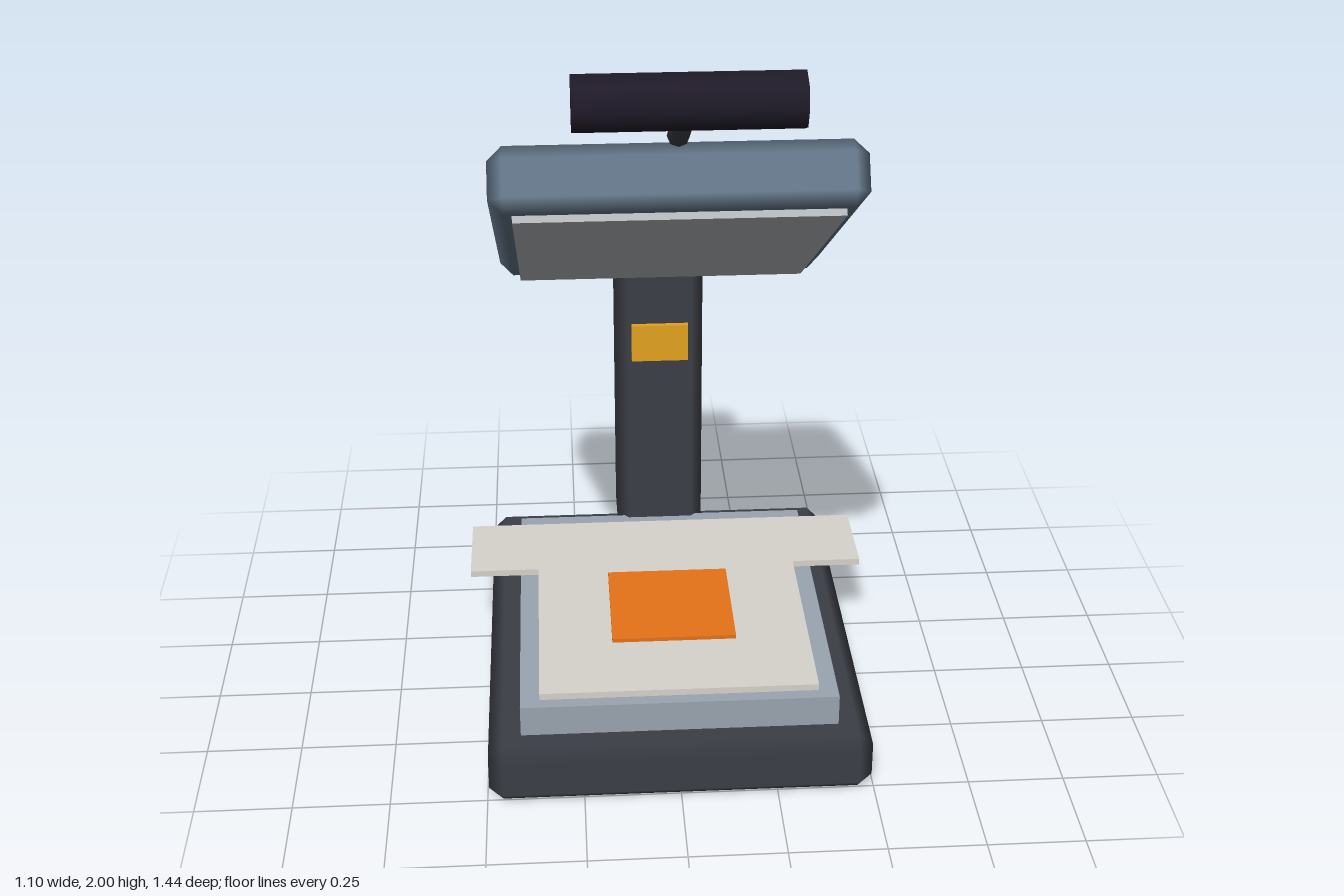
import * as THREE from 'three';
import { ConvexGeometry } from 'three/addons/geometries/ConvexGeometry.js';

const paint = (color) => new THREE.MeshStandardMaterial({ color });
const dark = paint(0x3b3e45), blue = paint(0x627486), steel = paint(0x9aa5b0);
const cloth = paint(0xd6d3cb), orange = paint(0xe67318), amber = paint(0xe3a220);
const grip = paint(0x1e1a28), plateGrey = paint(0xb4b8bc);

function add(parent, name, geometry, material, x, y, z) {
  const mesh = new THREE.Mesh(geometry, material);
  mesh.name = name;
  mesh.position.set(x, y, z);
  parent.add(mesh);
  return mesh;
}

// Box with one cut along every edge; normals follow the flat faces so the cuts shade softly
function chamferBox(w, h, d, b) {
  const half = [w / 2, h / 2, d / 2];
  const points = [];
  for (let axis = 0; axis < 3; axis++)
    for (const sx of [-1, 1]) for (const sy of [-1, 1]) for (const sz of [-1, 1]) {
      const p = [sx, sy, sz].map((s, i) => s * (half[i] - (i === axis ? 0 : b)));
      points.push(new THREE.Vector3(...p));
    }
  const geometry = new ConvexGeometry(points);
  const pos = geometry.attributes.position, normal = geometry.attributes.normal;
  for (let i = 0; i < pos.count; i++) {
    const p = [pos.getX(i), pos.getY(i), pos.getZ(i)];
    normal.setXYZ(i, ...p.map((v, k) => (Math.abs(v) > half[k] - b / 2 ? Math.sign(v) : 0)));
  }
  return geometry;
}

// Flat T-shaped garment, lying with its sleeves toward the back
function garmentGeometry() {
  const right = [[0.36, -0.42], [0.36, 0.175], [0.55, 0.175], [0.55, 0.42]];
  const left = right.map(([x, y]) => [-x, y]).reverse();
  const shape = new THREE.Shape([...right, ...left].map(([x, y]) => new THREE.Vector2(x, y)));
  return new THREE.ExtrudeGeometry(shape, { depth: 0.018, bevelEnabled: false }).rotateX(-Math.PI / 2);
}

export function createModel() {
  const model = new THREE.Group();
  model.name = 'heatPress';

  // Base, rear column and its indicator panel
  add(model, 'base', chamferBox(0.99, 0.165, 1.21, 0.036), dark, 0, 0.0825, -0.074);
  add(model, 'column', chamferBox(0.246, 0.935, 0.246, 0.032), dark, 0, 0.636, -0.599);
  add(model, 'controlPanel', new THREE.BoxGeometry(0.16, 0.11, 0.03), amber, 0, 0.828, -0.475);

  // Lower platen with the garment and its print
  add(model, 'lowerPlaten', new THREE.BoxGeometry(0.82, 0.09, 0.94), steel, 0, 0.205, -0.019);
  add(model, 'garment', garmentGeometry(), cloth, 0, 0.251, 0);
  add(model, 'print', new THREE.BoxGeometry(0.33, 0.012, 0.33), orange, 0, 0.274, 0.035);

  // Raised head with the heating plate on its underside
  const head = new THREE.Group();
  head.name = 'head';
  head.position.set(0, 1.396, -0.045);
  head.rotation.x = -0.56;
  model.add(head);
  add(head, 'headShell', chamferBox(0.88, 0.16, 1.04, 0.035), blue, 0, 0, 0);
  add(head, 'heatingPlate', new THREE.BoxGeometry(0.77, 0.03, 0.945), plateGrey, 0, -0.082, 0);

  // Handle: arm running up to the cross grip
  const start = new THREE.Vector3(0, 1.738, 0.325), end = new THREE.Vector3(0, 1.935, 0.656);
  const mid = start.clone().add(end).multiplyScalar(0.5);
  const arm = add(model, 'handleArm', new THREE.CylinderGeometry(0.027, 0.027, start.distanceTo(end), 8),
    dark, mid.x, mid.y, mid.z);
  arm.rotation.x = Math.atan2(end.z - start.z, end.y - start.y);
  const bar = add(model, 'handleGrip', new THREE.CylinderGeometry(0.065, 0.065, 0.496, 8), grip, 0, end.y, end.z);
  bar.rotation.z = Math.PI / 2;

  return model;
}
